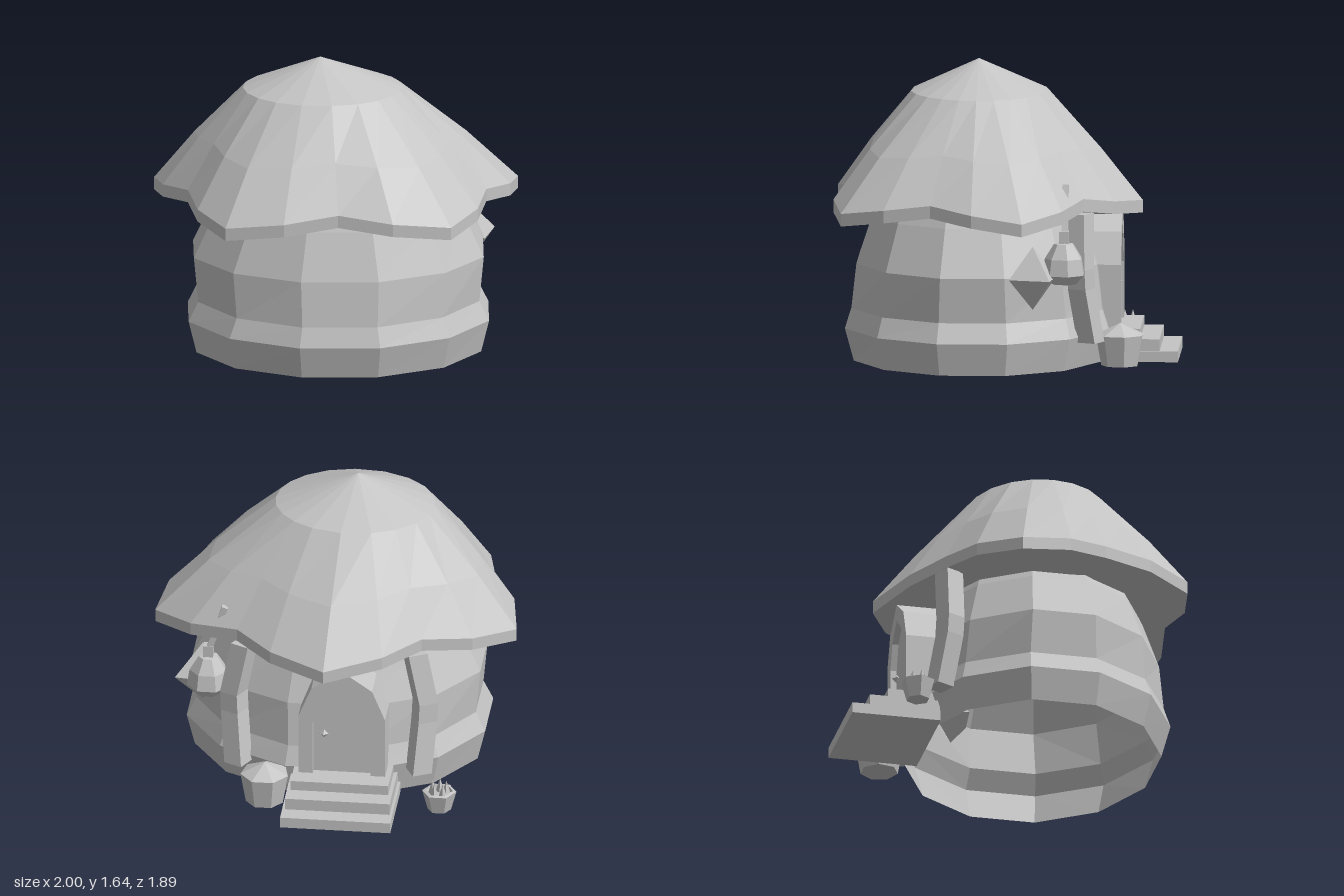
import * as THREE from 'three';

const stone = new THREE.MeshStandardMaterial({ color: 0xc4c4c4, flatShading: true, side: THREE.DoubleSide });
stone.name = 'grey';

// Skin a stack of closed rings, listed bottom to top, counter-clockwise from above
function loft(rings) {
  const pos = [];
  const n = rings[0].length;
  for (let i = 0; i < rings.length - 1; i++) {
    for (let j = 0; j < n; j++) {
      const k = (j + 1) % n;
      const a = rings[i][j], b = rings[i][k], c = rings[i + 1][k], d = rings[i + 1][j];
      pos.push(...a, ...b, ...c, ...a, ...c, ...d);
    }
  }
  const geo = new THREE.BufferGeometry();
  geo.setAttribute('position', new THREE.Float32BufferAttribute(pos, 3));
  geo.computeVertexNormals();
  return geo;
}

const ellipse = (n, cx, y, cz, rx, rz, start = 0) => Array.from({ length: n }, (_, i) => {
  const t = start + (i / n) * Math.PI * 2;
  return [cx + Math.sin(t) * rx, y, cz + Math.cos(t) * rz];
});

export function createModel() {
  const model = new THREE.Group();
  model.name = 'hut';
  const add = (name, geo, x = 0, y = 0, z = 0, parent = model) => {
    const mesh = new THREE.Mesh(geo, stone);
    mesh.name = name;
    mesh.position.set(x, y, z);
    parent.add(mesh);
    return mesh;
  };

  // Twelve-sided wall with a flared foot, open underneath
  const wallProfile = [
    [0, 0.81, 0.70], [0.18, 0.855, 0.75], [0.29, 0.80, 0.714],
    [0.54, 0.825, 0.685], [0.8, 0.70, 0.595], [0.9, 0.64, 0.55],
  ];
  add('wall', loft(wallProfile.map(([y, rx, rz]) => ellipse(12, 0.01, y, 0.16, rx, rz, Math.PI / 12))));

  // Roof edge: five drooping tips with raised valleys; x, z, height of the upper lip
  const half = [
    [0, 0.90, 0.945], [0.30, 0.945, 0.905], [0.62, 0.89, 0.87], [0.77, 0.65, 0.91],
    [0.82, 0.39, 0.945], [0.955, 0.16, 0.91], [1, -0.12, 0.87], [0.78, -0.33, 0.91],
    [0.51, -0.44, 0.945], [0.31, -0.605, 0.905], [0, -0.745, 0.87],
  ];
  const edge = [...half, ...half.slice(1, -1).reverse().map(([x, z, y]) => [-x, z, y])];
  const cx = -0.075, cz = 0.155;
  const lip = edge.map(([x, z, y]) => [x, y, z]);
  const lipBottom = lip.map(([x, y, z]) => [x, y - 0.07, z]);
  const soffit = lip.map(([x, , z]) => [x * 0.72, 0.84, cz + (z - cz) * 0.72]);
  const shoulder = lip.map(([x, , z]) => {
    const t = Math.atan2(x - cx, z - cz);
    return [cx + Math.sin(t) * 0.44, 1.465, cz + Math.cos(t) * 0.38];
  });
  const slope = lip.map(([x, y, z], i) => {
    const s = shoulder[i];
    return [s[0] + (x - s[0]) * 0.56, s[1] + (y - s[1]) * 0.52, s[2] + (z - s[2]) * 0.56];
  });
  const point = (x, y, z) => lip.map(() => [x, y, z]);
  add('roof', loft([point(0, 0.84, cz), soffit, lipBottom, lip, slope, shoulder, point(-0.09, 1.64, 0.16)]));

  // Front steps, lowest first
  [[0.61, 0.06, -0.947], [0.58, 0.125, -0.845], [0.54, 0.18, -0.738]].forEach(([w, h, z]) => {
    const depth = -0.45 - z;
    add('step', new THREE.BoxGeometry(w, h, depth), -0.09, h / 2, z + depth / 2);
  });

  // Pointed door frame, door leaf and knob
  const arch = (w, side, top) => [
    [-w, 0], [w, 0], [w, side], [w * 0.7, side + (top - side) * 0.6], [0, top],
    [-w * 0.7, side + (top - side) * 0.6], [-w, side],
  ].map(([x, y]) => new THREE.Vector2(x, y));
  const frame = new THREE.Shape(arch(0.24, 0.36, 0.65));
  frame.holes.push(new THREE.Path(arch(0.16, 0.32, 0.55).map((p) => p.setY(p.y + 0.005))));
  add('doorFrame', new THREE.ExtrudeGeometry(frame, { depth: 0.25, bevelEnabled: false }), -0.09, 0.17, -0.63);
  add('door', new THREE.ExtrudeGeometry(new THREE.Shape(arch(0.165, 0.32, 0.56)), { depth: 0.04, bevelEnabled: false }),
    -0.09, 0.17, -0.595);
  add('doorKnob', new THREE.OctahedronGeometry(0.025), 0.01, 0.42, -0.61);

  // Bent timber posts beside the door
  const postStations = [[0.50, 0.15, -0.48], [0.525, 0.45, -0.43], [0.53, 0.56, -0.425], [0.47, 0.86, -0.42]];
  const corners = [[-0.055, -0.055], [-0.055, 0.055], [0.055, 0.055], [0.055, -0.055]];
  for (const side of [1, -1]) {
    const a = side * 0.47;
    const rings = postStations.map(([x, y, z]) => corners.map(([u, v]) => [
      side * x + u * Math.cos(a) - v * Math.sin(a), y, z + u * Math.sin(a) + v * Math.cos(a),
    ]));
    const top = rings[rings.length - 1];
    const cap = top.map(() => [side * 0.47, 0.86, -0.42]);
    const base = top.map(() => [side * 0.50, 0.15, -0.48]);
    add(side > 0 ? 'leftPost' : 'rightPost', loft([base, ...rings, cap]));
  }

  // Diamond window bulging from the side wall
  const bay = add('diamondWindow', new THREE.OctahedronGeometry(1), 0.73, 0.535, -0.17);
  bay.scale.set(0.175, 0.175, 0.155);
  bay.rotation.y = 0.6;

  // Hanging lantern, with a hook that runs up through the roof
  const lantern = new THREE.Group();
  lantern.name = 'lantern';
  lantern.position.set(0.68, 0, -0.34);
  model.add(lantern);
  const lanternProfile = [[0, 0.5], [0.075, 0.5], [0.12, 0.55], [0.105, 0.64], [0.055, 0.72], [0, 0.73]];
  add('lanternBody', new THREE.LatheGeometry(lanternProfile.map(([r, y]) => new THREE.Vector2(r, y)), 7), 0, 0, 0, lantern);
  add('lanternCollar', new THREE.BoxGeometry(0.055, 0.07, 0.055), 0, 0.755, 0, lantern);
  const hook = add('lanternHook', new THREE.BoxGeometry(0.035, 0.3, 0.035), -0.045, 0.89, -0.005, lantern);
  hook.rotation.z = 0.32;

  // Large planter with a mound of soil
  const planterProfile = [[0, 0], [0.105, 0], [0.135, 0.17], [0.115, 0.18], [0, 0.235]];
  add('planter', new THREE.LatheGeometry(planterProfile.map(([r, y]) => new THREE.Vector2(r, y)), 7), 0.335, 0, -0.635);

  // Small pot with spiky leaves
  const pot = new THREE.Group();
  pot.name = 'smallPot';
  pot.position.set(-0.63, 0, -0.63);
  model.add(pot);
  const potProfile = [[0, 0], [0.065, 0], [0.095, 0.11], [0.075, 0.115], [0.065, 0.09], [0, 0.09]];
  add('potBody', new THREE.LatheGeometry(potProfile.map(([r, y]) => new THREE.Vector2(r, y)), 6, Math.PI / 6), 0, 0, 0, pot);
  for (let i = 0; i < 5; i++) {
    const t = (i / 5) * Math.PI * 2;
    add('leaf', new THREE.ConeGeometry(0.028, 0.09, 4), Math.sin(t) * 0.04, 0.125, Math.cos(t) * 0.04, pot);
  }

  return model;
}
